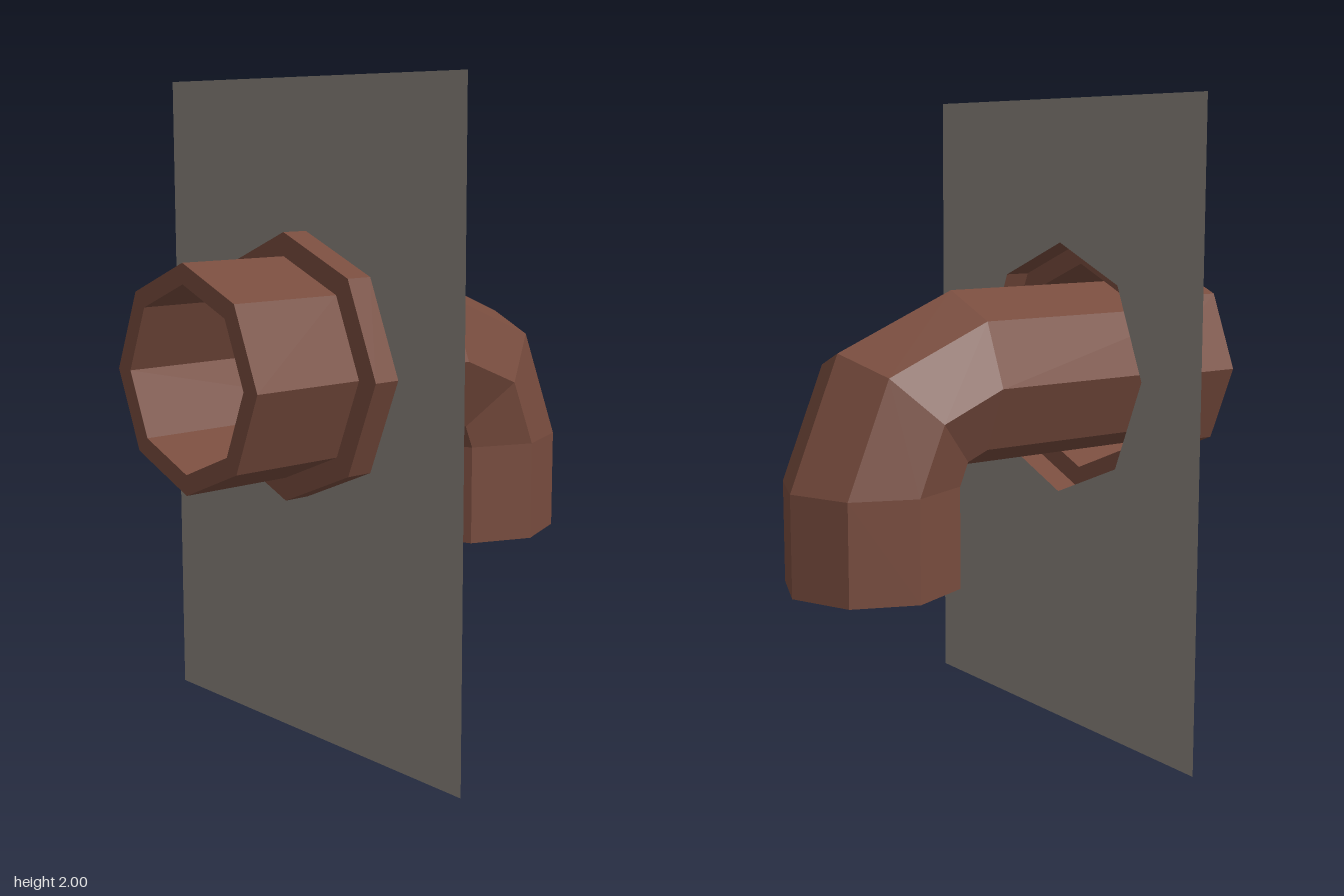
import * as THREE from 'three';

const SIDES = 8;
const AXIS_Y = 1.155;   // height of the horizontal pipe axis
const PANEL_X = -0.265; // wall plane, flush with the flange front

const paint = (name, color) => {
  const m = new THREE.MeshStandardMaterial({ color, flatShading: true, side: THREE.DoubleSide });
  m.name = name;
  return m;
};

// Octagonal shell swept through stations {x, y, a}; a is the bend angle.
function sweptPipe(stations, r) {
  const pos = [], idx = [];
  stations.forEach(({ x, y, a }, i) => {
    for (let j = 0; j < SIDES; j++) {
      const t = (j / SIDES) * Math.PI * 2;
      const u = r * Math.cos(t);
      pos.push(x + u * Math.sin(a), y + u * Math.cos(a), r * Math.sin(t));
      if (i === 0) continue;
      const k = (j + 1) % SIDES, p = (i - 1) * SIDES, q = i * SIDES;
      idx.push(p + j, p + k, q + j, p + k, q + k, q + j);
    }
  });
  const g = new THREE.BufferGeometry();
  g.setAttribute('position', new THREE.Float32BufferAttribute(pos, 3));
  g.setIndex(idx);
  g.computeVertexNormals();
  return g;
}

export function createModel() {
  const group = new THREE.Group();
  const brown = paint('brown pipe', 0x784c3e);
  const grey = paint('grey panel', 0x8b857e);
  const add = (name, geometry, material) => {
    const mesh = new THREE.Mesh(geometry, material);
    mesh.name = name;
    group.add(mesh);
    return mesh;
  };

  // Inner pipe: straight run, two-step elbow, short drop to the outlet
  const bend = { x: 0.15, y: 0.865, r: 0.29 };
  const stations = [{ x: -0.71, y: AXIS_Y, a: 0 }];
  for (let i = 0; i <= 2; i++) {
    const a = (i * Math.PI) / 4;
    stations.push({ x: bend.x + bend.r * Math.sin(a), y: bend.y + bend.r * Math.cos(a), a });
  }
  stations.push({ x: bend.x + bend.r, y: 0.555, a: Math.PI / 2 });
  add('elbowPipe', sweptPipe(stations, 0.27), brown);

  // Outer sleeve: end lip, sleeve wall, step and flange, open at the panel
  const profile = [[0.27, -0.71], [0.33, -0.71], [0.33, -0.35], [0.4, -0.35], [0.4, PANEL_X]]
    .map(([r, x]) => new THREE.Vector2(r, x));
  const sleeve = new THREE.LatheGeometry(profile, SIDES).rotateZ(-Math.PI / 2);
  add('flangedSleeve', sleeve, brown).position.y = AXIS_Y;

  // Wall panel with an octagonal opening the size of the flange
  const w = 0.66;
  const wall = new THREE.Shape([[-w, 0], [w, 0], [w, 2], [-w, 2]].map(([x, y]) => new THREE.Vector2(x, y)));
  const hole = [];
  for (let j = 0; j < SIDES; j++) {
    const t = (-j / SIDES) * Math.PI * 2;
    hole.push(new THREE.Vector2(0.4 * Math.cos(t), AXIS_Y + 0.4 * Math.sin(t)));
  }
  wall.holes.push(new THREE.Path(hole));
  add('wallPanel', new THREE.ShapeGeometry(wall).rotateY(Math.PI / 2), grey).position.x = PANEL_X;

  return group;
}
